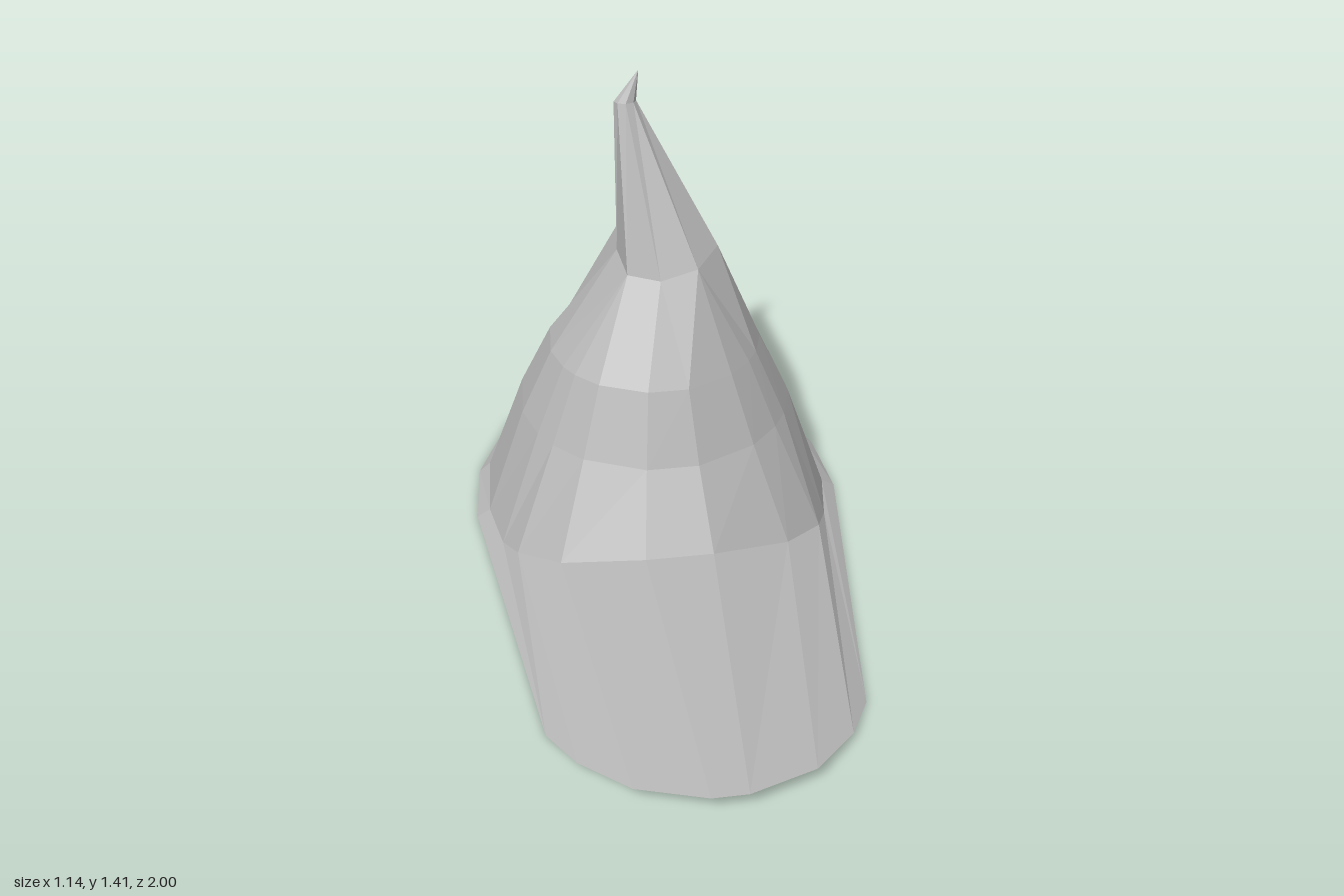
import * as THREE from 'three';

// Left half of the brim edge and of the crown base, front to back: [x, y, z]
const BRIM_HALF = [
  [0.05, 0.07, 1], [0.24, 0.06, 0.93], [0.37, 0.03, 0.79], [0.44, 0, 0.65], [0.57, 0, -0.33],
  [0.55, 0, -0.57], [0.44, 0, -0.83], [0.22, 0, -0.95], [0.05, 0, -1],
];
const BASE_HALF = [
  [0.1, 0.15, 0.14], [0.34, 0.095, 0.05], [0.46, 0.06, -0.06], [0.5, 0.025, -0.16], [0.53, 0.025, -0.33],
  [0.515, 0.03, -0.57], [0.41, 0.03, -0.8], [0.2, 0.03, -0.92], [0.04, 0.03, -0.965],
];
// Lopsided foot of the spike, anticlockwise from the front
const SPIKE_FOOT = [
  [0, 0.855, -0.24], [0.11, 0.88, -0.25], [0.18, 0.91, -0.33], [0.16, 0.92, -0.44],
  [0.06, 0.93, -0.5], [-0.09, 0.93, -0.48], [-0.105, 0.87, -0.42], [-0.09, 0.855, -0.29],
];

const mirrorRing = (half) => [...half, ...half.slice().reverse().map(([x, y, z]) => [-x, y, z])];

// Flat-shaded skin between closed rings, lowest ring first
function loft(name, rings, material) {
  const pos = [];
  for (let r = 0; r < rings.length - 1; r++) {
    const lo = rings[r], hi = rings[r + 1], n = lo.length;
    for (let i = 0; i < n; i++) {
      const j = (i + 1) % n;
      pos.push(...lo[i], ...lo[j], ...hi[j], ...lo[i], ...hi[j], ...hi[i]);
    }
  }
  const geometry = new THREE.BufferGeometry();
  geometry.setAttribute('position', new THREE.Float32BufferAttribute(pos, 3));
  geometry.computeVertexNormals();
  const mesh = new THREE.Mesh(geometry, material);
  mesh.name = name;
  return mesh;
}

export function createModel() {
  const felt = new THREE.MeshStandardMaterial({ color: 0xb5b5b5, flatShading: true, side: THREE.DoubleSide });
  felt.name = 'grey felt';
  const hat = new THREE.Group();
  hat.name = 'pointedHat';

  const brimEdge = mirrorRing(BRIM_HALF);
  const base = mirrorRing(BASE_HALF);

  // Crown rings follow the directions of the base points
  const angles = base.map(([x, , z]) => Math.atan2(x / 0.535, (z + 0.41) / 0.555));
  const crownRing = (y, rx, cz, rz) => angles.map((a) => [rx * Math.sin(a), y, cz + rz * Math.cos(a)]);
  const crownTop = angles.map((a) => SPIKE_FOOT[(Math.round(a / (Math.PI / 4)) + 8) % 8]);

  // Bent spike
  const neck = SPIKE_FOOT.map((p, i) => {
    const a = (i * Math.PI) / 4;
    return [-0.07 + 0.032 * Math.sin(a), 1.325, -0.455 + 0.022 * Math.cos(a)];
  });
  const tip = SPIKE_FOOT.map(() => [-0.03, 1.415, -0.46]);

  hat.add(
    loft('brim', [brimEdge, base], felt),
    loft('crown', [base, crownRing(0.37, 0.415, -0.41, 0.42), crownRing(0.58, 0.32, -0.395, 0.315), crownTop], felt),
    loft('spike', [SPIKE_FOOT, neck, tip], felt),
  );
  return hat;
}
